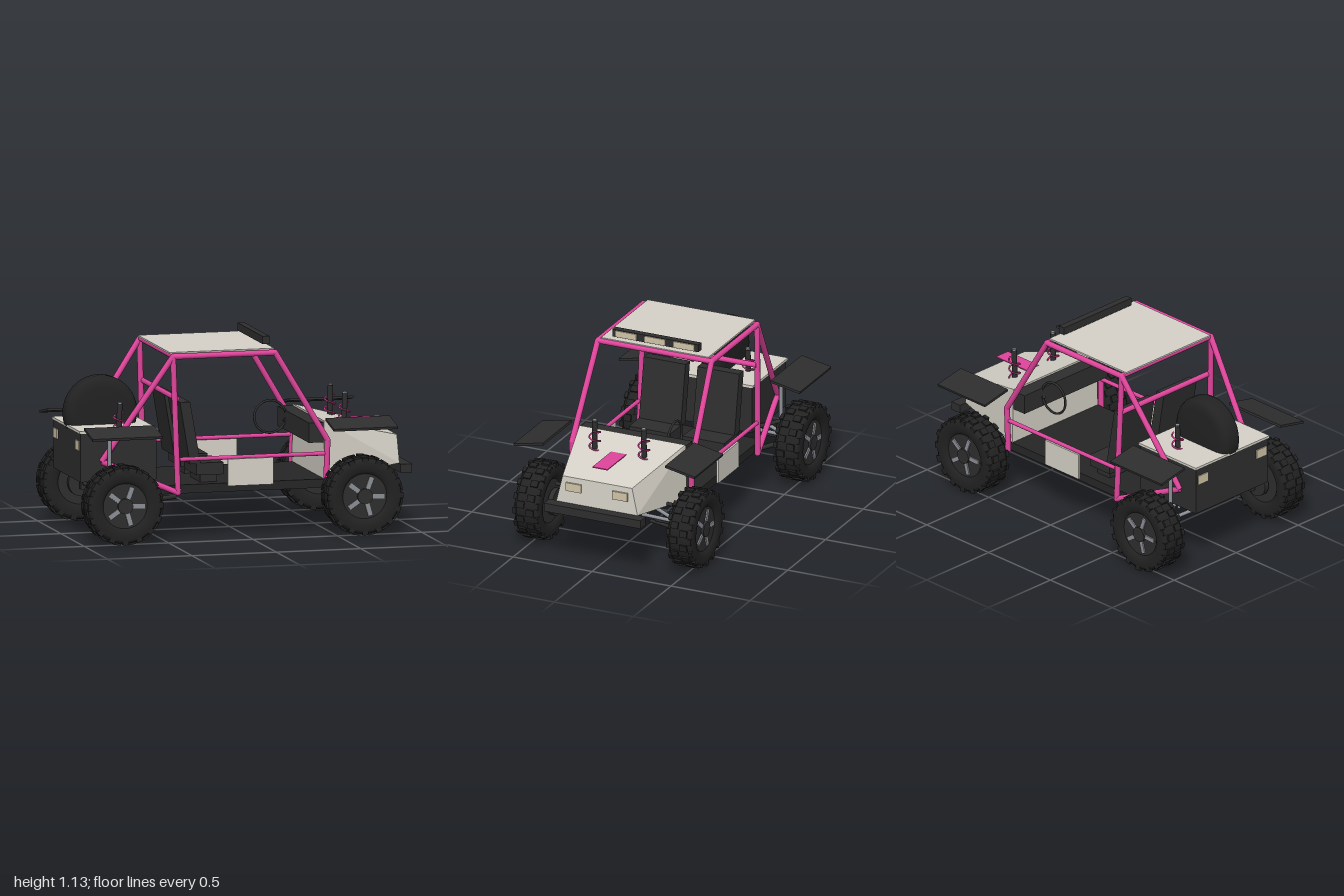
import * as THREE from 'three';
import { ConvexGeometry } from 'three/addons/geometries/ConvexGeometry.js';

const mat = (name, color, opts = {}) => {
  const m = new THREE.MeshStandardMaterial({ color, ...opts });
  m.name = name;
  return m;
};

export function createModel() {
  const pink = mat('pink frame', 0xe0459c);
  const panel = mat('pale panel', 0xd6d2c8);
  const dark = mat('dark trim', 0x2e2e2e);
  const rubber = mat('tyre rubber', 0x222222);
  const floorMat = mat('black floor', 0x262626);
  const steel = mat('steel', 0x8c9097);
  const cream = mat('lamp cream', 0xd2c5a8);

  const car = new THREE.Group();
  car.name = 'buggy';
  const V = (x, y, z) => new THREE.Vector3(x, y, z);

  const add = (name, geo, m, parent = car) => {
    const mesh = new THREE.Mesh(geo, m);
    mesh.name = name;
    parent.add(mesh);
    return mesh;
  };
  // Box given by its extents along each axis
  const box = (name, m, x0, x1, y0, y1, z0, z1, parent = car) => {
    const b = add(name, new THREE.BoxGeometry(x1 - x0, y1 - y0, z1 - z0), m, parent);
    b.position.set((x0 + x1) / 2, (y0 + y1) / 2, (z0 + z1) / 2);
    return b;
  };
  // Round bar between two points
  const bar = (name, m, a, b, r, parent = car) => {
    const d = b.clone().sub(a);
    const t = add(name, new THREE.CylinderGeometry(r, r, d.length(), 12), m, parent);
    t.position.copy(a).add(b).multiplyScalar(0.5);
    t.quaternion.setFromUnitVectors(V(0, 1, 0), d.normalize());
    return t;
  };
  // Solid of revolution about z from [radius, z] pairs
  const turned = (pts, n = 40) =>
    new THREE.LatheGeometry(pts.map(p => new THREE.Vector2(p[0], p[1])), n).rotateX(Math.PI / 2).scale(1, 1, 1);

  // Wheels: tyre, tread lugs, rim and spokes
  function wheel() {
    const g = new THREE.Group();
    g.name = 'wheel';
    add('tyre', turned([[0.13, -0.06], [0.15, -0.078], [0.195, -0.08], [0.212, -0.07], [0.221, -0.045],
      [0.222, 0], [0.221, 0.045], [0.212, 0.07], [0.195, 0.08], [0.15, 0.078], [0.13, 0.06]]), rubber, g);
    const lug = new THREE.BoxGeometry(0.04, 0.02, 0.045);
    const shoulder = new THREE.BoxGeometry(0.035, 0.034, 0.022);
    const count = 16;
    for (let i = 0; i < count; i++) {
      for (const s of [-1, 1]) {
        const a = (i + (s > 0 ? 0.5 : 0)) * Math.PI * 2 / count;
        const place = (geo, angle, r, z) => {
          const m = add('treadLug', geo, rubber, g);
          m.position.set(Math.sin(angle) * r, Math.cos(angle) * r, z);
          m.rotation.z = -angle;
        };
        place(lug, a, 0.2195, s * 0.03);
        place(shoulder, a + Math.PI / count, 0.206, s * 0.068);
      }
    }
    add('rim', new THREE.CylinderGeometry(0.134, 0.134, 0.12, 32).rotateX(Math.PI / 2), dark, g);
    add('hubCap', new THREE.CylinderGeometry(0.045, 0.045, 0.02, 20).rotateX(Math.PI / 2), dark, g).position.z = 0.065;
    for (let i = 0; i < 5; i++) {
      const a = i * Math.PI * 2 / 5 + 0.35;
      const s = add('spoke', new THREE.BoxGeometry(0.026, 0.07, 0.012), steel, g);
      s.position.set(Math.sin(a) * 0.08, Math.cos(a) * 0.08, 0.062);
      s.rotation.z = -a;
    }
    add('brakeDrum', new THREE.CylinderGeometry(0.08, 0.08, 0.03, 24).rotateX(Math.PI / 2), dark, g).position.z = -0.088;
    return g;
  }

  // Shock absorber with coil spring
  function shock(x, z, yTop) {
    const g = new THREE.Group();
    g.name = 'shock';
    const bottom = V(x, 0.25, z), top = V(x + 0.015, yTop, z * 0.98);
    const mid = bottom.clone().lerp(top, 0.62);
    bar('shockRod', steel, bottom, mid, 0.009, g);
    bar('shockBody', dark, mid, top, 0.016, g);
    bar('shockCap', steel, top, V(top.x, yTop + 0.008, top.z), 0.013, g);
    const pts = [];
    for (let i = 0; i <= 96; i++) {
      const t = i / 96, a = t * Math.PI * 2 * 8;
      const p = bottom.clone().lerp(top, 0.03 + t * 0.87);
      pts.push(p.add(V(Math.cos(a) * 0.032, 0, Math.sin(a) * 0.032)));
    }
    add('coilSpring', new THREE.TubeGeometry(new THREE.CatmullRomCurve3(pts), 192, 0.005, 6), pink, g);
    car.add(g);
  }

  // Body: floor, tapered nose, rear box and deck
  box('floor', floorMat, -0.52, 0.48, 0.26, 0.31, -0.345, 0.345);
  const nose = [];
  for (const s of [-1, 1]) {
    nose.push(V(0.465, 0.645, s * 0.335), V(0.465, 0.31, s * 0.345), V(0.93, 0.53, s * 0.22), V(0.935, 0.37, s * 0.257));
  }
  add('nose', new ConvexGeometry(nose), panel);
  box('noseStripe', pink, 0.645, 0.895, 0.597, 0.603, -0.048, 0.048);
  box('frontBumper', dark, 0.928, 0.997, 0.32, 0.37, -0.305, 0.305);
  box('rearBox', dark, -0.965, -0.515, 0.34, 0.62, -0.29, 0.29);
  box('rearDeck', panel, -0.972, -0.508, 0.62, 0.635, -0.298, 0.298);
  box('dashboard', dark, 0.377, 0.464, 0.52, 0.635, -0.335, 0.335);
  box('roof', panel, -0.45, 0.17, 1.067, 1.077, -0.34, 0.34);
  box('frontCrossmember', dark, 0.6, 0.63, 0.255, 0.277, -0.19, 0.19);

  // Roof light bar
  box('lightBar', dark, 0.12, 0.16, 1.092, 1.137, -0.272, 0.272);
  for (const z of [-0.183, 0, 0.183]) box('roofLamp', cream, 0.16, 0.167, 1.096, 1.133, z - 0.065, z + 0.065);

  // Spare wheel standing in the rear deck
  const spare = add('spareTyre', turned([[0.001, -0.07], [0.15, -0.07], [0.185, -0.062], [0.205, -0.048], [0.215, -0.025],
    [0.215, 0.025], [0.205, 0.048], [0.185, 0.062], [0.15, 0.07], [0.001, 0.07]], 32), rubber);
  spare.position.set(-0.77, 0.697, 0);

  // Steering wheel
  add('steeringWheel', new THREE.TorusGeometry(0.094, 0.007, 8, 36), dark).position.set(0.29, 0.6, -0.185);
  bar('steeringColumn', dark, V(0.37, 0.58, -0.185), V(0.39, 0.57, -0.185), 0.012);

  // Cage cross bars
  const cross = (x, y, z) => bar('crossBar', pink, V(x, y, -z), V(x, y, z), 0.016);
  cross(0.17, 1.055, 0.36);
  cross(-0.43, 1.055, 0.36);
  cross(-0.415, 0.812, 0.365);

  for (const s of [-1, 1]) {
    // Side of the roll cage
    const frontTop = V(0.17, 1.055, s * 0.36), rearTop = V(-0.435, 1.055, s * 0.36);
    const knee = V(0.475, 0.54, s * 0.378), hoopFoot = V(-0.41, 0.27, s * 0.375);
    const tail = V(-0.84, 0.455, s * 0.295);
    const runs = [[frontTop, rearTop], [frontTop, knee], [knee, V(0.468, 0.27, s * 0.375)],
      [rearTop, hoopFoot], [rearTop, tail], [hoopFoot, tail]];
    for (const [a, b] of runs) bar('cageTube', pink, a, b, 0.017);
    for (const p of [frontTop, rearTop, knee, hoopFoot]) {
      add('cageJoint', new THREE.SphereGeometry(0.0175, 12, 8), pink).position.copy(p);
    }
    bar('sideRail', pink, V(-0.4, 0.462, s * 0.375), V(0.47, 0.462, s * 0.375), 0.012);
    box('sidePanel', panel, -0.12, 0.15, 0.3, 0.455, s * 0.389 - 0.007, s * 0.389 + 0.007);

    // Seats
    const z0 = s * 0.17 - 0.132, z1 = s * 0.17 + 0.132;
    box('seatBase', dark, -0.28, -0.12, 0.355, 0.425, z0, z1);
    box('seatMount', dark, -0.25, -0.15, 0.31, 0.355, z0 + 0.03, z1 - 0.03);
    const back = new THREE.Shape([[-0.378, 0.78], [-0.318, 0.78], [-0.255, 0.42], [-0.318, 0.42]]
      .map(p => new THREE.Vector2(...p)));
    add('seatBack', new THREE.ExtrudeGeometry(back, { depth: z1 - z0, bevelEnabled: false }), dark).position.z = z0;

    // Lamps
    box('headlight', cream, 0.925, 0.942, 0.446, 0.496, s * 0.147 - 0.048, s * 0.147 + 0.048);
    box('tailLight', cream, -0.972, -0.962, 0.52, 0.575, s * 0.235 - 0.04, s * 0.235 + 0.04);

    // Fenders sloping outward
    for (const [x0, x1] of [[0.46, 0.84], [-0.97, -0.555]]) {
      const f = box('fender', dark, x0, x1, 0.635, 0.649, s * 0.479 - 0.095, s * 0.479 + 0.095);
      f.rotation.x = s * 0.2;
    }

    // Wheels and suspension
    for (const x of [0.65, -0.77]) {
      const w = wheel();
      w.position.set(x, 0.232, s * 0.485);
      if (s < 0) w.rotation.y = Math.PI;
      car.add(w);
      bar('axle', dark, V(x, 0.235, s * 0.24), V(x, 0.235, s * 0.42), 0.012);
      for (const dx of [-0.07, 0.07]) {
        bar('wishbone', steel, V(x + dx, 0.285, s * 0.18), V(x, 0.245, s * 0.38), 0.011);
      }
      box('upright', dark, x - 0.02, x + 0.02, 0.2, 0.31, s * 0.345 - 0.015, s * 0.345 + 0.015);
    }
    bar('steeringArm', dark, V(0.65, 0.345, s * 0.3), V(0.65, 0.345, s * 0.395), 0.011);
    bar('trailingArm', dark, V(-0.77, 0.215, s * 0.39), V(-0.38, 0.222, s * 0.2), 0.014);
    bar('lowerArm', dark, V(0.6, 0.2, s * 0.18), V(0.65, 0.2, s * 0.385), 0.01);
    bar('rearArm', dark, V(-0.6, 0.345, s * 0.28), V(-0.79, 0.345, s * 0.395), 0.012);
    bar('rearStrut', steel, V(-0.805, 0.28, s * 0.335), V(-0.805, 0.58, s * 0.335), 0.011);
    shock(0.625, s * 0.158, 0.772);
    shock(-0.715, s * 0.178, 0.768);
  }
  return car;
}
